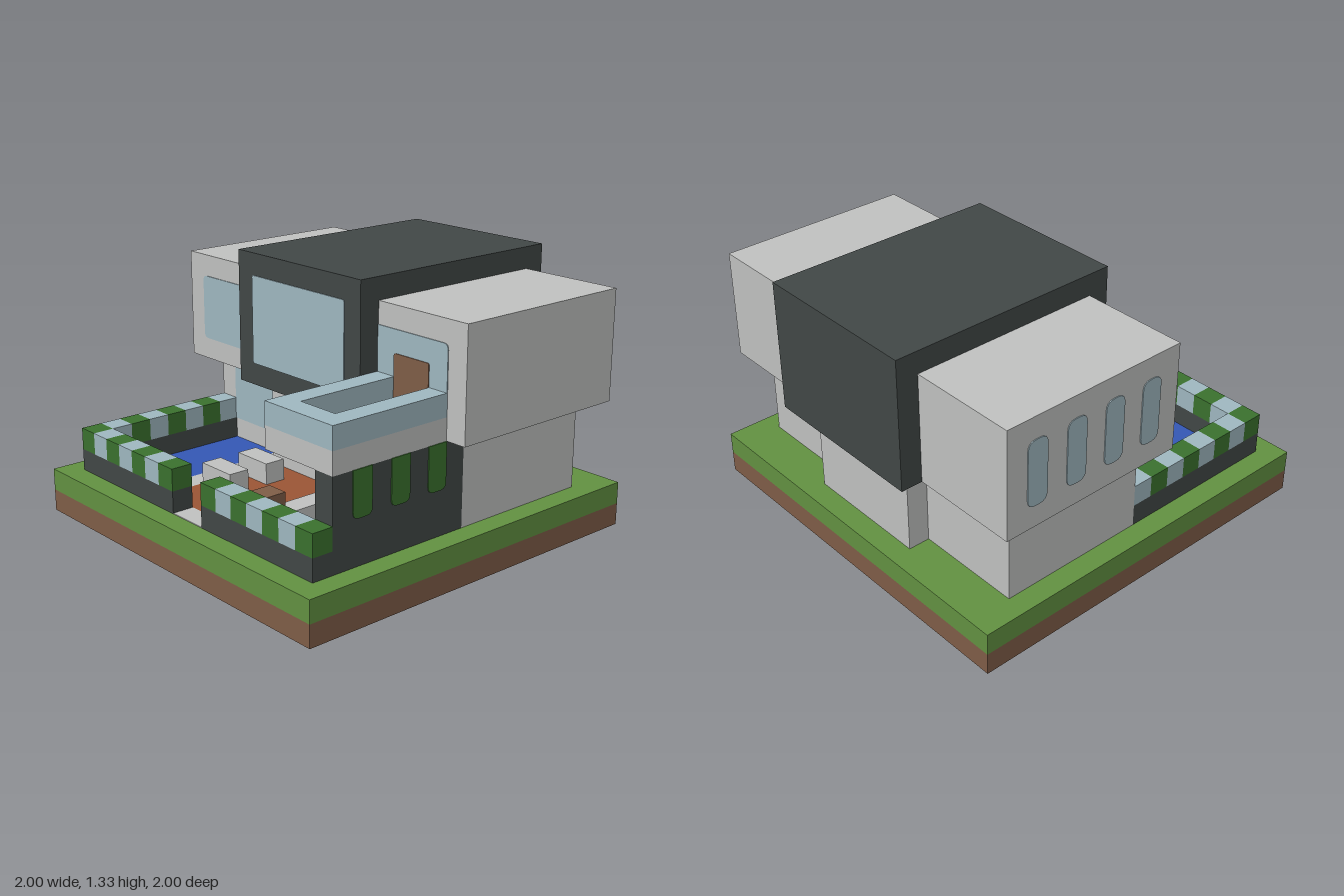
import * as THREE from 'three';

const U = 1 / 9; // building module

export function createModel() {
  const root = new THREE.Group();
  const mat = (name, color) => new THREE.MeshStandardMaterial({ name, color });
  const wall = mat('pale wall', 0xc0c1c0);
  const dark = mat('charcoal', 0x414746);
  const grass = mat('grass green', 0x629141);
  const earth = mat('earth brown', 0x7f5d47);
  const glass = mat('glass blue', 0x9fb7c0);
  const hedge = mat('hedge green', 0x3a712e);
  const water = mat('water blue', 0x3457b4);
  const terracotta = mat('terracotta', 0x9a5535);

  const add = (name, geometry, material) => {
    const mesh = new THREE.Mesh(geometry, material);
    mesh.name = name;
    root.add(mesh);
    return mesh;
  };

  // Box from its limits, in modules
  const box = (name, material, x0, x1, y0, y1, z0, z1) => {
    const g = new THREE.BoxGeometry((x1 - x0) * U, (y1 - y0) * U, (z1 - z0) * U);
    g.translate((x0 + x1) / 2 * U, (y0 + y1) / 2 * U, (z0 + z1) / 2 * U);
    return add(name, g, material);
  };

  // Thin rounded plate facing +z, limits in modules; top corners radius rt, bottom rb
  const plateGeometry = (a0, a1, y0, y1, rb, rt) => {
    const s = new THREE.Shape();
    s.moveTo(a0 + rb, y0);
    s.lineTo(a1 - rb, y0);
    s.quadraticCurveTo(a1, y0, a1, y0 + rb);
    s.lineTo(a1, y1 - rt);
    s.quadraticCurveTo(a1, y1, a1 - rt, y1);
    s.lineTo(a0 + rt, y1);
    s.quadraticCurveTo(a0, y1, a0, y1 - rt);
    s.lineTo(a0, y0 + rb);
    s.quadraticCurveTo(a0, y0, a0 + rb, y0);
    const g = new THREE.ExtrudeGeometry(s, { depth: 0.04, bevelEnabled: false, curveSegments: 4 });
    return g.scale(U, U, U);
  };
  const frontPlate = (name, material, x0, x1, y0, y1, z, rb = 0, rt = 0) =>
    add(name, plateGeometry(x0, x1, y0, y1, rb, rt).translate(0, 0, z * U), material);
  // Plate on a side wall at x = side * d
  const sidePlate = (name, material, side, d, z0, z1, y0, y1, rb, rt) => {
    const w = (z1 - z0) / 2;
    const g = plateGeometry(-w, w, y0, y1, rb, rt).rotateY(side * Math.PI / 2);
    return add(name, g.translate(side * d * U, 0, (z0 + z1) / 2 * U), material);
  };

  // Earth slab, open under the pool and at a small pit
  const rect = (T, x0, x1, z0, z1) => new T([[x0, z0], [x1, z0], [x1, z1], [x0, z1]]
    .map(([x, z]) => new THREE.Vector2(x * U, z * U)));
  const slab = rect(THREE.Shape, -9, 9, -9, 9);
  slab.holes.push(rect(THREE.Path, -7, -4, 1, 7), rect(THREE.Path, 1, 2, 4, 5));
  const slabGeometry = new THREE.ExtrudeGeometry(slab, { depth: U, bevelEnabled: false });
  add('earthSlab', slabGeometry.rotateX(Math.PI / 2).translate(0, U, 0), earth);
  box('lawn', grass, -9, 9, 1, 2, -9, 9);

  // Pool and paving
  box('poolLiner', wall, -7, -4, 0, 1, 1, 7);
  box('poolWater', water, -7, -4, 2, 2.03, 0, 7);
  box('poolEdge', wall, -4, -3, 2, 2.03, 0, 7);
  box('patio', terracotta, -3, 7, 2, 2.03, 0, 7);
  box('entranceStep', wall, -1, 1, 2, 2.03, 7, 8);

  // Patio furniture
  for (const z of [2, 4]) box('lounger', wall, -3, -1, 2, 3, z, z + 1);
  box('counter', wall, 3, 4, 2, 3, 1, 6);
  box('counterCabinet', earth, 3, 4, 2, 3.95, 6, 7);

  // Ground floor
  for (const [x0, x1] of [[-8, -3], [3, 8]]) box('groundWing', wall, x0, x1, 2, 6, -7, 0);
  box('groundCore', wall, -3, 3, 2, 6, -8, 1);
  frontPlate('groundWindow', glass, -7, -3, 3, 6, 0);
  frontPlate('groundWindow', glass, -2, 2, 3, 6, 1, 0.15);
  frontPlate('groundWindow', glass, 3, 7, 3, 6, 0, 0.15);
  frontPlate('groundDoor', earth, 4, 6, 2, 5, 0.04, 0, 0.1);

  // Upper floor
  for (const [x0, x1] of [[-9, -4], [4, 9]]) box('upperWing', wall, x0, x1, 6, 11, -8, 1);
  box('upperCore', dark, -4, 4, 6, 12, -9, 2);
  for (const [x0, x1] of [[-8, -3.5], [3.5, 8]])
    frontPlate('upperWindow', glass, x0, x1, 7, 10, 1, 0.25, 0.25);
  frontPlate('upperDoor', earth, 5, 7, 7, 9, 1.04, 0, 0.1);
  frontPlate('pictureWindow', glass, -3.03, 3.03, 7, 11, 2, 0.1, 0.1);
  for (let i = 0; i < 4; i++)
    sidePlate('slotWindow', glass, -1, 9, -7 + 2 * i, -6 + 2 * i, 7, 10, 0.4, 0.4);

  // Side wall with hanging plants
  box('sideWall', dark, 7, 8, 2, 6, 0, 7);
  for (const z of [1, 3, 5])
    sidePlate('hangingPlant', hedge, 1, 8, z, z + 1, 4, 6, 0.3, 0);

  // Balcony with glass railing
  box('balconyFloor', wall, 4, 8, 6, 7, 1, 7);
  box('balconyRailing', glass, 4, 5, 7, 8, 1, 7);
  box('balconyRailing', glass, 7, 8, 7, 8, 1, 7);
  box('balconyRailing', glass, 5, 7, 7, 8, 6, 7);

  // Garden wall topped by alternating hedge and glass blocks
  box('gardenWall', dark, -8, -1, 2, 3, 7, 8);
  box('gardenWall', dark, 1, 8, 2, 3, 7, 8);
  box('gardenWall', dark, -8, -7, 2, 3, 0, 7);
  const topper = (i, x, z) =>
    box(i % 2 ? 'glassBlock' : 'hedgeBlock', i % 2 ? glass : hedge, x, x + 1, 3, 4, z, z + 1);
  for (let i = 0; i < 7; i++) {
    topper(i, -8 + i, 7);
    topper(i, 1 + i, 7);
  }
  for (let i = 0; i < 7; i++) topper(i + 1, -8, i);

  return root;
}
